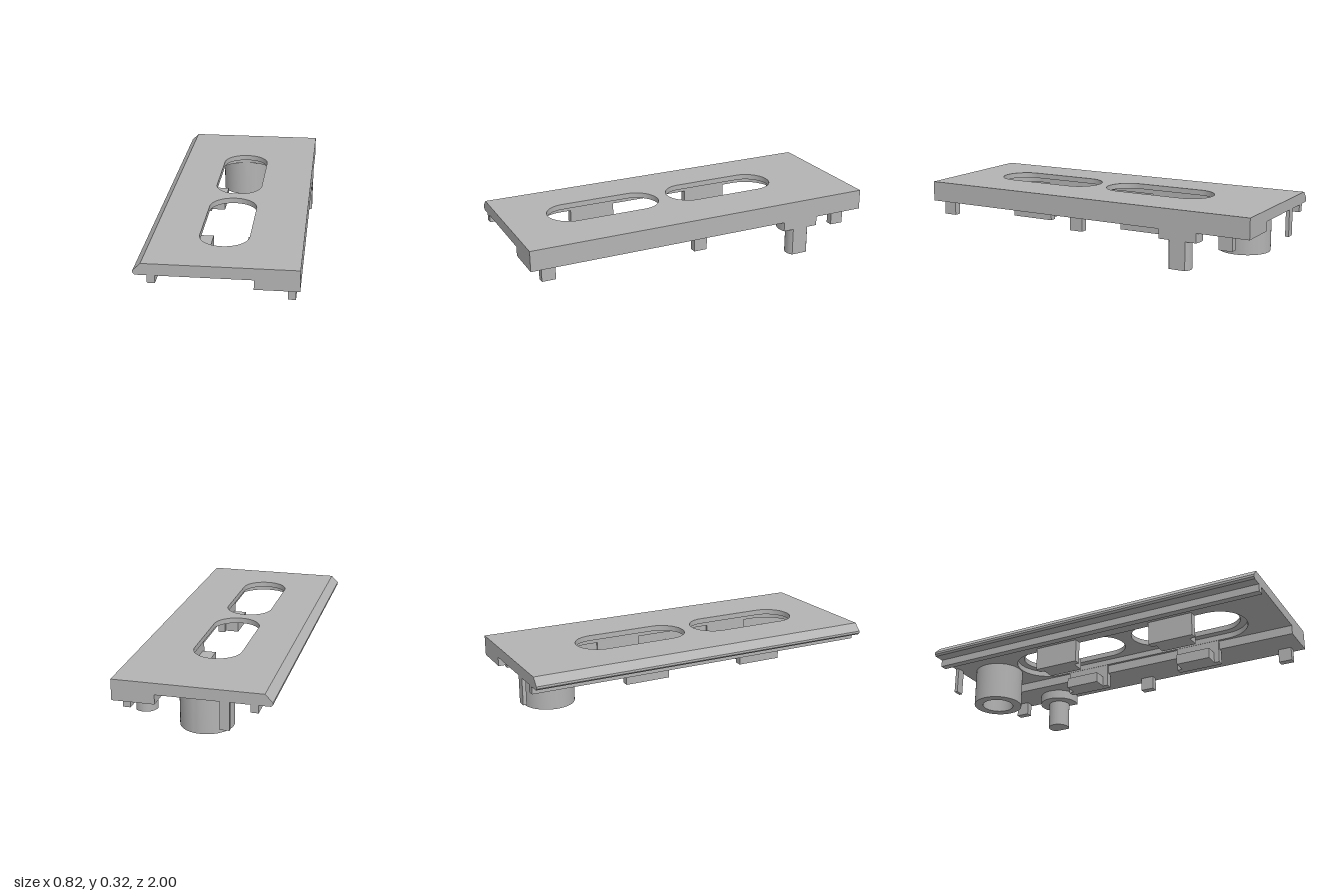
import * as THREE from 'three';
import { toCreasedNormals } from 'three/addons/utils/BufferGeometryUtils.js';

const TOP = 0.32, STEP = 0.29, UNDER = 0.258, RAIL_BOTTOM = 0.207;

export function createModel() {
  const model = new THREE.Group();
  model.name = 'slottedCoverPlate';
  const grey = new THREE.MeshStandardMaterial({ color: 0xb3b3b3 });
  grey.name = 'plain grey';

  const add = (name, geometry) => {
    const mesh = new THREE.Mesh(geometry, grey);
    mesh.name = name;
    model.add(mesh);
    return mesh;
  };

  // Box given by its limits on each axis
  const block = (name, x0, x1, y0, y1, z0, z1) =>
    add(name, new THREE.BoxGeometry(x1 - x0, y1 - y0, z1 - z0)
      .translate((x0 + x1) / 2, (y0 + y1) / 2, (z0 + z1) / 2));

  // Plan outline (x, -z) raised from y0 to y1
  const raise = (name, shape, y0, y1) => {
    const g = new THREE.ExtrudeGeometry(shape, { depth: y1 - y0, bevelEnabled: false, curveSegments: 24 });
    g.rotateX(-Math.PI / 2).translate(0, y0, 0);
    return add(name, toCreasedNormals(g, 0.6));
  };

  const rectangle = (x0, x1) => new THREE.Shape([
    new THREE.Vector2(x0, -1), new THREE.Vector2(x1, -1),
    new THREE.Vector2(x1, 1), new THREE.Vector2(x0, 1),
  ]);

  // Round-ended opening between z0 and z1
  const slot = (r, z0, z1) => {
    const p = new THREE.Path();
    p.absarc(0, -z0 - r, r, 0, Math.PI, false);
    p.absarc(0, -z1 + r, r, Math.PI, Math.PI * 2, false);
    p.closePath();
    return p;
  };

  // Plate: upper layer with two slots, lower layer with one long recess
  const upper = rectangle(-0.37, 0.41);
  upper.holes.push(slot(0.13, -0.61, 0.04), slot(0.13, 0.11, 0.76));
  raise('plateTop', upper, STEP, TOP);
  const lower = rectangle(-0.37, 0.41);
  lower.holes.push(slot(0.17, -0.65, 0.8));
  raise('plateUnderside', lower, UNDER, STEP);

  // Bevelled long edge
  const edge = new THREE.Shape([
    [-0.37, UNDER], [-0.37, TOP], [-0.41, 0.28], [-0.41, 0.268], [-0.4, UNDER],
  ].map(([x, y]) => new THREE.Vector2(x, y)));
  add('bevelledEdge', new THREE.ExtrudeGeometry(edge, { depth: 2, bevelEnabled: false }).translate(0, 0, -1));

  // Thick side and narrow rib beneath the plate
  block('thickSide', 0.185, 0.41, RAIL_BOTTOM, UNDER, -1, 1);
  block('narrowRib', -0.34, -0.3, 0.217, UNDER, -1, 1);

  // L-shaped clips, one pair per slot
  for (const z of [-0.283, 0.436]) {
    for (const side of [-1, 1]) {
      const span = (a, b) => side > 0 ? [a, b] : [-b, -a];
      block('clipUpright', ...span(0.172, 0.212), 0.125, UNDER, z - 0.13, z + 0.13);
      block('clipFoot', ...span(0.096, 0.172), 0.125, 0.185, z - 0.1, z + 0.1);
    }
  }

  // Small pegs under the thick side
  for (const z of [-0.861, 0.027, 0.899])
    block('peg', 0.348, 0.388, 0.13, RAIL_BOTTOM, z - 0.038, z + 0.038);

  // Post and collar, both cut flush with the side
  const cutDisc = (r) => {
    const a = Math.acos(0.0425 / r);
    const s = new THREE.Shape();
    s.absarc(0.3675, 0.6, r, a, Math.PI * 2 - a, false);
    s.closePath();
    return s;
  };
  raise('postCollar', cutDisc(0.115), 0.155, RAIL_BOTTOM);
  raise('post', cutDisc(0.0625), 0, 0.155);

  // Hollow boss
  const boss = new THREE.Shape();
  boss.absarc(-0.027, 0.795, 0.14, 0, Math.PI * 2, false);
  const bore = new THREE.Path();
  bore.absarc(-0.027, 0.795, 0.09, 0, Math.PI * 2, true);
  boss.holes.push(bore);
  raise('hollowBoss', boss, 0.042, UNDER);

  // Thin tab at the back end
  block('backTab', -0.195, -0.145, 0.108, UNDER, -1, -0.98);

  return model;
}
